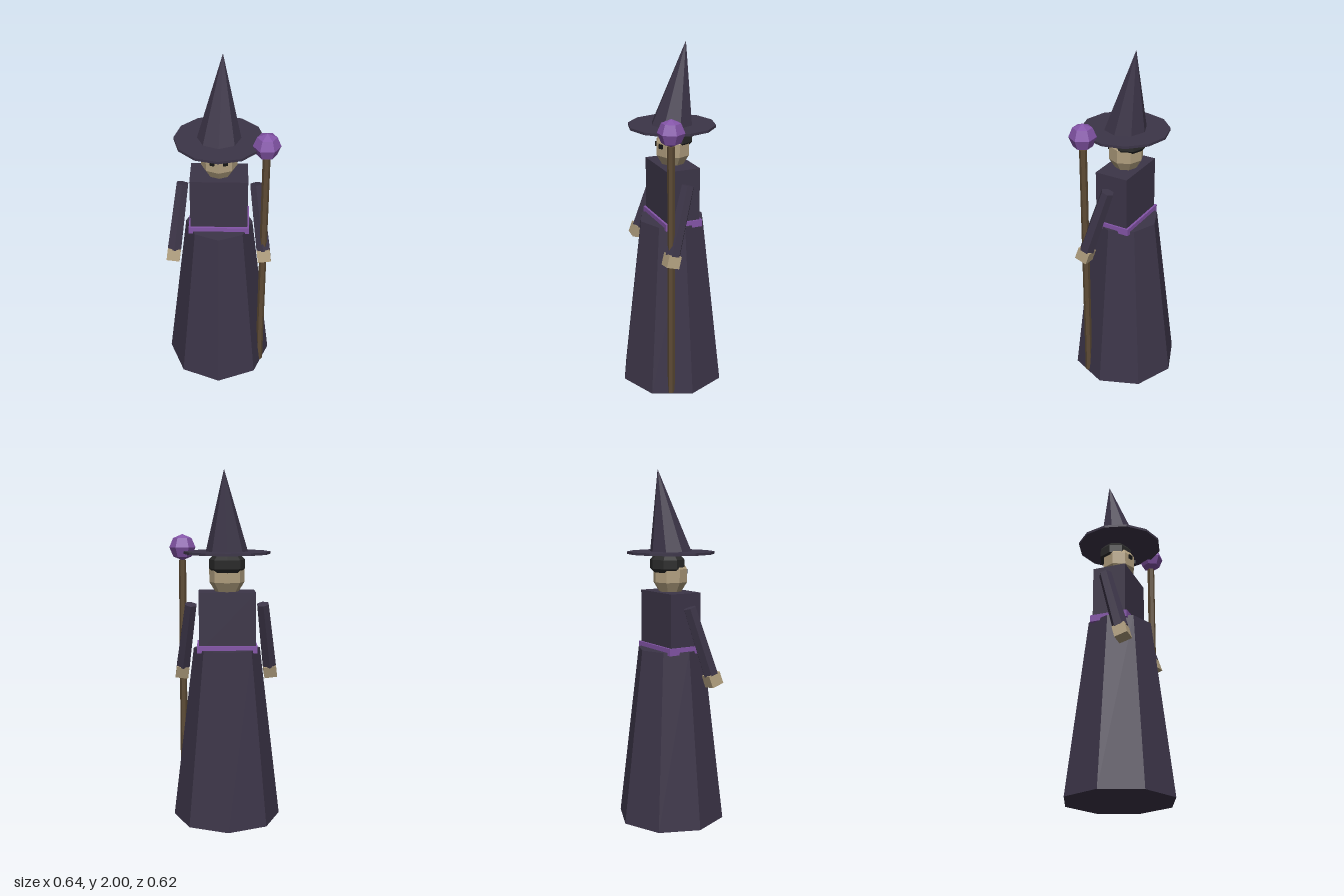
import * as THREE from 'three';

const mat = (name, color) => {
  const m = new THREE.MeshStandardMaterial({ color, flatShading: true });
  m.name = name;
  return m;
};

export function createModel() {
  const robe = mat('dark purple cloth', 0x3c3548);
  const purple = mat('violet', 0x8455a8);
  const skin = mat('skin', 0xb09e7e);
  const hairMat = mat('hair', 0x2a2a2a);
  const wood = mat('wood', 0x5c4a34);
  const eyeMat = mat('eye', 0x161616);

  const model = new THREE.Group();
  model.name = 'robedFigure';
  const body = new THREE.Group();
  body.name = 'body';
  body.position.x = -0.01; // the staff makes the figure slightly off-centre
  model.add(body);

  const add = (name, geometry, material, x, y, z, parent = body) => {
    const mesh = new THREE.Mesh(geometry, material);
    mesh.name = name;
    mesh.position.set(x, y, z);
    parent.add(mesh);
    return mesh;
  };

  // Robe
  add('skirt', new THREE.CylinderGeometry(0.19, 0.31, 1, 8), robe, 0, 0.5, 0);
  add('torso', new THREE.BoxGeometry(0.32, 0.335, 0.195), robe, 0, 1.157, -0.003);
  add('belt', new THREE.BoxGeometry(0.34, 0.04, 0.22), purple, 0, 1.005, -0.003);

  // Head, hair and eyes
  add('head', new THREE.SphereGeometry(0.105, 8, 5).scale(1, 1.15, 0.96), skin, 0, 1.415, -0.005);
  add('hair', new THREE.SphereGeometry(0.107, 8, 5).scale(1, 0.75, 0.95), hairMat, 0, 1.48, -0.024);
  for (const side of [-1, 1]) {
    const eye = add('eye', new THREE.BoxGeometry(0.026, 0.024, 0.008), eyeMat, side * 0.037, 1.435, 0.082);
    eye.rotation.y = side * Math.PI / 8;
  }

  // Hat: flat brim and a cone leaning backwards
  add('hatBrim', new THREE.CylinderGeometry(0.245, 0.245, 0.014, 12), robe, 0, 1.542, 0);
  const cone = new THREE.ConeGeometry(0.12, 0.455, 8).translate(0, 0.2275, 0);
  cone.applyMatrix4(new THREE.Matrix4().set(
    1, 0.04, 0, 0,
    0, 1, 0, 0,
    0, -0.165, 1, 0,
    0, 0, 0, 1));
  add('hatCone', cone, robe, 0, 1.545, 0);

  // Arms, swung forwards and outwards
  for (const side of [-1, 1]) {
    const shoulder = new THREE.Vector3(side * 0.205, 1.25, -0.008);
    const wrist = new THREE.Vector3(side * 0.254, 0.875, 0.103);
    const dir = shoulder.clone().sub(wrist);
    const arm = new THREE.Group();
    arm.name = side > 0 ? 'leftArm' : 'rightArm';
    arm.position.copy(wrist);
    arm.quaternion.setFromUnitVectors(new THREE.Vector3(0, 1, 0), dir.clone().normalize());
    body.add(arm);
    add('sleeve', new THREE.CylinderGeometry(0.037, 0.044, dir.length(), 6), robe, 0, dir.length() / 2, 0, arm);
    add('hand', new THREE.BoxGeometry(0.075, 0.07, 0.075), skin, 0, -0.03, 0, arm);
  }

  // Staff held in the left hand
  const staff = new THREE.Group();
  staff.name = 'staff';
  staff.position.set(0.243, 0, 0.112);
  model.add(staff);
  add('shaft', new THREE.CylinderGeometry(0.021, 0.021, 1.485, 6).rotateY(Math.PI / 6), wood, 0, 0.752, 0, staff);
  add('orb', new THREE.SphereGeometry(0.075, 6, 4), purple, 0, 1.567, 0, staff);

  return model;
}
